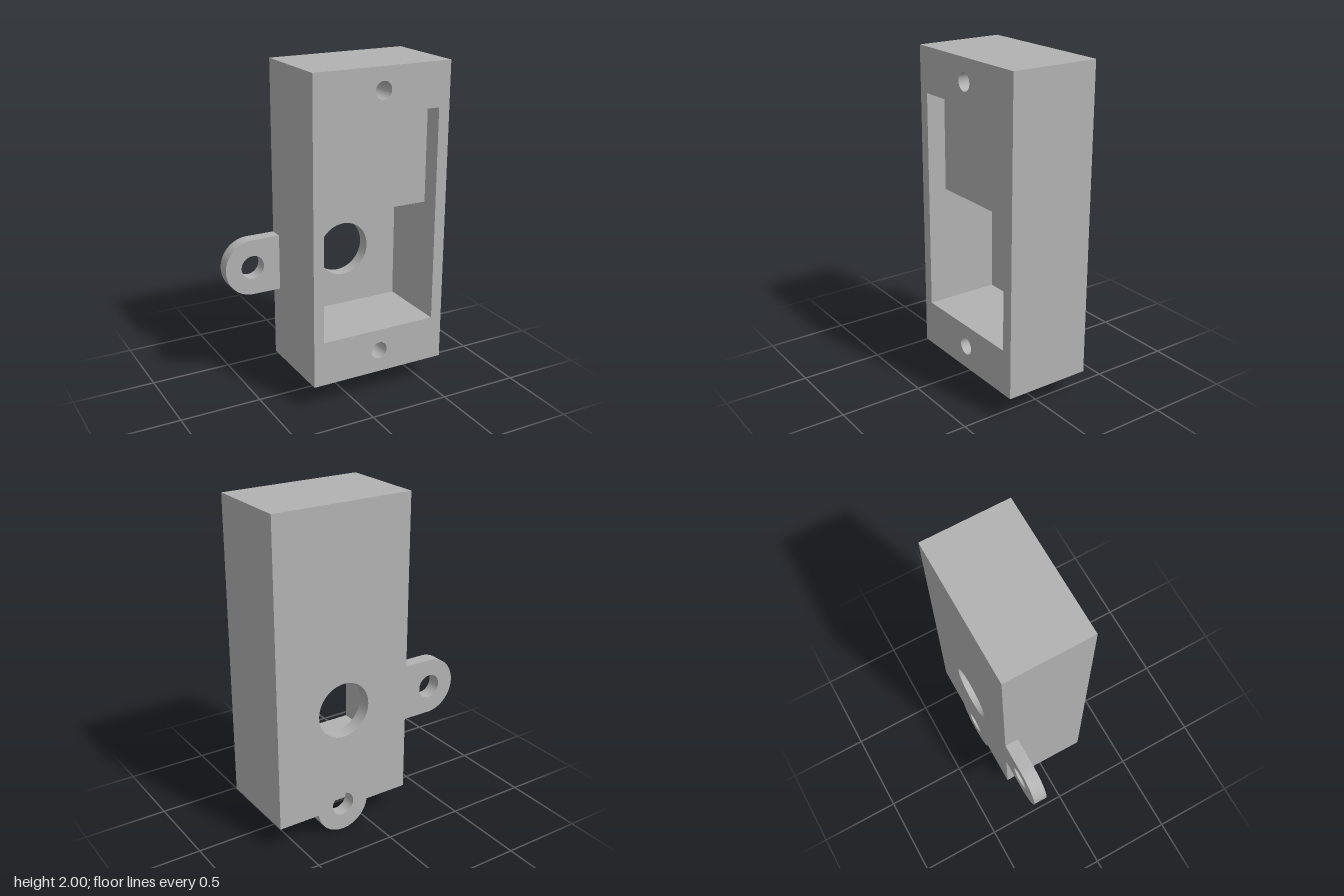
import * as THREE from 'three';
import { toCreasedNormals } from 'three/addons/utils/BufferGeometryUtils.js';

const LEFT = -0.265, RIGHT = 0.61, BOTTOM = 0.15, TOP = 2;
const CENTRE = 0.173;

// closed rectangle, as an outline or as a hole
function rect(Type, x0, y0, x1, y1) {
  const p = new Type();
  p.moveTo(x0, y0);
  p.lineTo(x1, y0);
  p.lineTo(x1, y1);
  p.lineTo(x0, y1);
  p.closePath();
  return p;
}

function circle(x, y, r) {
  return new THREE.Path().absarc(x, y, r, 0, Math.PI * 2, true);
}

export function createModel() {
  const group = new THREE.Group();
  const grey = new THREE.MeshStandardMaterial({ color: 0xb2b2b2 });
  grey.name = 'plain grey';

  // one slice of the housing between two depths
  function layer(name, shape, holes, z0, z1) {
    shape.holes.push(...holes);
    const extruded = new THREE.ExtrudeGeometry(shape, { depth: z1 - z0, bevelEnabled: false, curveSegments: 32 });
    extruded.translate(0, 0, z0);
    const mesh = new THREE.Mesh(toCreasedNormals(extruded, 0.6), grey);
    mesh.name = name;
    group.add(mesh);
  }
  const block = () => rect(THREE.Shape, LEFT, BOTTOM, RIGHT, TOP);
  const screwHoles = () => [0.29, 1.867].map((y) => circle(CENTRE, y, 0.052));
  const cavity = () => rect(THREE.Path, -0.2, 0.425, 0.54, 1.14);

  // back wall with its two rounded mounting tabs and the cable hole
  const tabR = 0.172, sideX = -0.44, sideY = 0.782, lowX = 0.18, lowY = 0.172;
  const dip = Math.asin((lowY - BOTTOM) / tabR);
  const wall = new THREE.Shape();
  wall.moveTo(LEFT, TOP);
  wall.lineTo(LEFT, sideY + tabR);
  wall.lineTo(sideX, sideY + tabR);
  wall.absarc(sideX, sideY, tabR, Math.PI / 2, Math.PI * 1.5, false);
  wall.lineTo(LEFT, sideY - tabR);
  wall.lineTo(LEFT, BOTTOM);
  wall.absarc(lowX, lowY, tabR, Math.PI + dip, Math.PI * 2 - dip, false);
  wall.lineTo(RIGHT, BOTTOM);
  wall.lineTo(RIGHT, TOP);
  wall.closePath();
  layer('backWallWithTabs', wall, [
    circle(CENTRE, 0.79, 0.168),
    circle(sideX, sideY, 0.072),
    circle(lowX, lowY, 0.072),
  ], -0.268, -0.185);

  // deep lower cavity; the screw holes end partway back
  layer('rearHousing', block(), [cavity()], -0.185, 0);
  layer('middleHousing', block(), [cavity(), ...screwHoles()], 0, 0.153);

  // front frame around the full window, leaving a shallow recess above the cavity
  layer('frontFrame', block(), [rect(THREE.Path, -0.2, 0.425, 0.54, 1.735), ...screwHoles()], 0.153, 0.268);

  return group;
}
